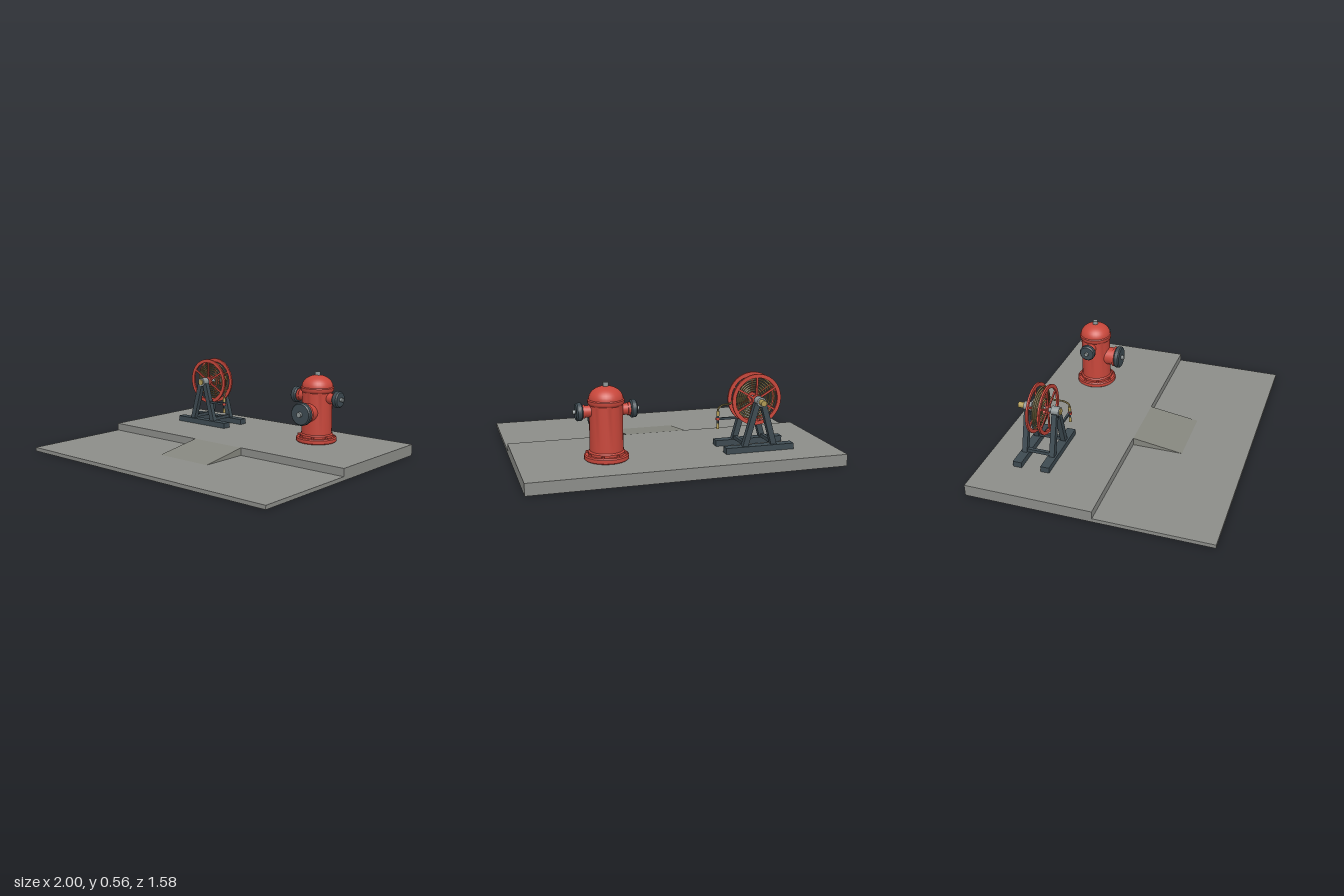
import * as THREE from 'three';
import { toCreasedNormals } from 'three/addons/utils/BufferGeometryUtils.js';

const mat = (name, color) => {
  const m = new THREE.MeshStandardMaterial({ color });
  m.name = name;
  return m;
};

export function createModel() {
  const concrete = mat('concrete', 0x8c8d89);
  const rampConcrete = mat('rampConcrete', 0x86877f);
  const red = mat('redPaint', 0xc8473b);
  const iron = mat('darkIron', 0x3d4a51);
  const steel = mat('steel', 0x8d9596);
  const brass = mat('brass', 0xb09a55);
  const hoseMat = mat('hose', 0x857649);

  const model = new THREE.Group();
  const group = (name, x, y, z, parent = model) => {
    const g = new THREE.Group();
    g.name = name;
    g.position.set(x, y, z);
    parent.add(g);
    return g;
  };
  const add = (parent, name, geo, m, x = 0, y = 0, z = 0) => {
    const mesh = new THREE.Mesh(geo, m);
    mesh.name = name;
    mesh.position.set(x, y, z);
    parent.add(mesh);
    return mesh;
  };
  const box = (p, name, m, w, h, d, x, y, z) => add(p, name, new THREE.BoxGeometry(w, h, d), m, x, y, z);
  const lathe = (pts, seg = 32) => toCreasedNormals(
    new THREE.LatheGeometry(pts.map(([r, y]) => new THREE.Vector2(r, y)), seg), 0.6);
  // cylinder along z between z0 and z1
  const rodZ = (p, name, m, r, z0, z1, x = 0, y = 0, seg = 20) => {
    const g = new THREE.CylinderGeometry(r, r, z1 - z0, seg).rotateX(Math.PI / 2);
    return add(p, name, g, m, x, y, (z0 + z1) / 2);
  };

  // ground: road slab, raised pavement, dropped-kerb ramp
  box(model, 'road', concrete, 2, 0.025, 1.58, 0, 0.0125, 0);
  box(model, 'pavement', concrete, 2, 0.051, 0.83, 0, 0.0505, -0.375);
  const wedge = new THREE.Shape([
    new THREE.Vector2(0, 0), new THREE.Vector2(0.335, 0), new THREE.Vector2(0, 0.051)]);
  const rampGeo = new THREE.ExtrudeGeometry(wedge, { depth: 0.41, bevelEnabled: false })
    .rotateY(-Math.PI / 2);
  add(model, 'ramp', rampGeo, rampConcrete, 0.203, 0.025, 0.04);

  // hydrant
  const hydrant = group('hydrant', 0.455, 0.076, -0.458);
  add(hydrant, 'baseFlange', lathe([[0, 0], [0.13, 0], [0.137, 0.006], [0.137, 0.028],
    [0.13, 0.035], [0.11, 0.035], [0, 0.035]]), red);
  add(hydrant, 'barrel', lathe([[0.112, 0.034], [0.112, 0.05], [0.103, 0.058], [0.102, 0.34],
    [0.109, 0.348], [0.112, 0.356], [0.112, 0.37], [0.106, 0.376]]), red);
  const dome = [];
  for (let i = 0; i <= 10; i++) {
    const a = (i / 10) * Math.PI / 2;
    dome.push([Math.max(0.106 * Math.cos(a), 0), 0.374 + 0.08 * Math.sin(a)]);
  }
  add(hydrant, 'bonnet', lathe(dome), red);
  add(hydrant, 'topNut', new THREE.CylinderGeometry(0.018, 0.02, 0.028, 6), steel, 0, 0.463, 0);
  for (let i = 0; i < 8; i++) {
    const a = (i + 0.5) * Math.PI / 4;
    add(hydrant, 'flangeBolt', new THREE.CylinderGeometry(0.009, 0.009, 0.014, 6), red,
      0.122 * Math.cos(a), 0.04, 0.122 * Math.sin(a));
  }
  // outlet pointing along +z of its own group: pipe, collar, cap and nut
  const outlet = (name, y, turn, r, capR, capStart, capEnd, nutR, nutEnd) => {
    const g = group(name, 0, y, 0, hydrant);
    g.rotation.y = turn;
    rodZ(g, 'pipe', red, r, 0.05, capStart, 0, 0, 28);
    rodZ(g, 'collar', red, r * 1.13, capStart - 0.015, capStart, 0, 0, 28);
    const b = 0.008;
    add(g, 'cap', lathe([[0, capStart], [capR - b, capStart], [capR, capStart + b],
      [capR, capEnd - b], [capR - b, capEnd], [0, capEnd]], 28).rotateX(Math.PI / 2), iron);
    rodZ(g, 'capNut', steel, nutR, capEnd - 0.002, nutEnd, 0, 0, 6);
  };
  outlet('frontOutlet', 0.21, 0, 0.063, 0.077, 0.155, 0.195, 0.019, 0.213);
  outlet('leftOutlet', 0.304, Math.PI / 2, 0.036, 0.055, 0.147, 0.187, 0.014, 0.205);
  outlet('rightOutlet', 0.304, -Math.PI / 2, 0.036, 0.055, 0.147, 0.187, 0.014, 0.205);

  // reel stand
  const reel = group('hoseReel', -0.503, 0, -0.464);
  const axleY = 0.393;
  for (const s of [-1, 1]) {
    const z = s * 0.093;
    box(reel, 'foot', iron, 0.453, 0.038, 0.058, 0, 0.095, z);
    for (const side of [-1, 1]) {
      const dx = 0.077, dy = 0.275;
      const leg = box(reel, 'leg', iron, 0.036, Math.hypot(dx, dy), 0.034, side * 0.0585, 0.245, z);
      leg.rotation.z = side * Math.atan2(dx, dy);
    }
    box(reel, 'bearingBlock', iron, 0.056, 0.04, 0.036, 0, 0.38, z);
    rodZ(reel, 'bearing', steel, 0.03, z - 0.026, z + 0.026, 0, axleY);
  }
  for (const s of [-1, 1]) box(reel, 'tieBar', iron, 0.022, 0.022, 0.15, s * 0.093, 0.125, 0);
  rodZ(reel, 'axle', steel, 0.014, -0.13, 0.121, 0, axleY);
  rodZ(reel, 'frontAxleCap', brass, 0.02, 0.117, 0.127, 0, axleY);
  rodZ(reel, 'inletCoupling', brass, 0.019, -0.16, -0.117, 0, axleY);

  // wheel: two spoked rims
  const rimShape = new THREE.Shape().absarc(0, 0, 0.163, 0, Math.PI * 2);
  rimShape.holes.push(new THREE.Path().absarc(0, 0, 0.139, 0, Math.PI * 2, true));
  const rimGeo = toCreasedNormals(new THREE.ExtrudeGeometry(rimShape,
    { depth: 0.012, bevelEnabled: false, curveSegments: 40 }).translate(0, 0, -0.006), 0.6);
  for (const s of [-1, 1]) {
    const wheel = group('wheel', 0, axleY, s * 0.039, reel);
    add(wheel, 'rim', rimGeo, red);
    rodZ(wheel, 'hub', red, 0.032, -0.007, 0.007);
    for (let i = 0; i < 6; i++) {
      const a = Math.PI / 6 + i * Math.PI / 3;
      const spoke = box(wheel, 'spoke', red, 0.125, 0.013, 0.009,
        0.085 * Math.cos(a), 0.085 * Math.sin(a), 0);
      spoke.rotation.z = a;
    }
  }

  // coiled hose with its free end running to the nozzle
  const coil = [];
  const turns = 7, steps = turns * 20;
  for (let i = 0; i <= steps; i++) {
    const t = i / steps, a = t * turns * Math.PI * 2, r = 0.035 + 0.107 * t;
    coil.push(new THREE.Vector3(r * Math.cos(a), axleY - r * Math.sin(a), 0.02 - 0.032 * t));
  }
  add(reel, 'hoseCoil', new THREE.TubeGeometry(new THREE.CatmullRomCurve3(coil), 420, 0.0055, 8), hoseMat);
  const lead = [[0.142, 0.393, -0.012], [0.158, 0.366, 0.01], [0.19, 0.345, 0.065],
    [0.206, 0.315, 0.094], [0.206, 0.285, 0.097]].map(p => new THREE.Vector3(...p));
  add(reel, 'hoseEnd', new THREE.TubeGeometry(new THREE.CatmullRomCurve3(lead), 30, 0.006, 8), hoseMat);

  // nozzle on its holder arm
  const nozzle = group('nozzle', 0.206, 0, 0.097, reel);
  add(nozzle, 'coupling', new THREE.CylinderGeometry(0.01, 0.01, 0.03, 14), brass, 0, 0.284, 0);
  add(nozzle, 'barrel', new THREE.CylinderGeometry(0.008, 0.007, 0.05, 14), iron, 0, 0.245, 0);
  add(nozzle, 'tip', new THREE.CylinderGeometry(0.007, 0.01, 0.036, 14), brass, 0, 0.203, 0);
  add(nozzle, 'clip', new THREE.CylinderGeometry(0.014, 0.014, 0.014, 14), red, 0, 0.25, 0);
  box(reel, 'holderArm', iron, 0.145, 0.014, 0.014, 0.13, 0.25, 0.093);

  return model;
}
